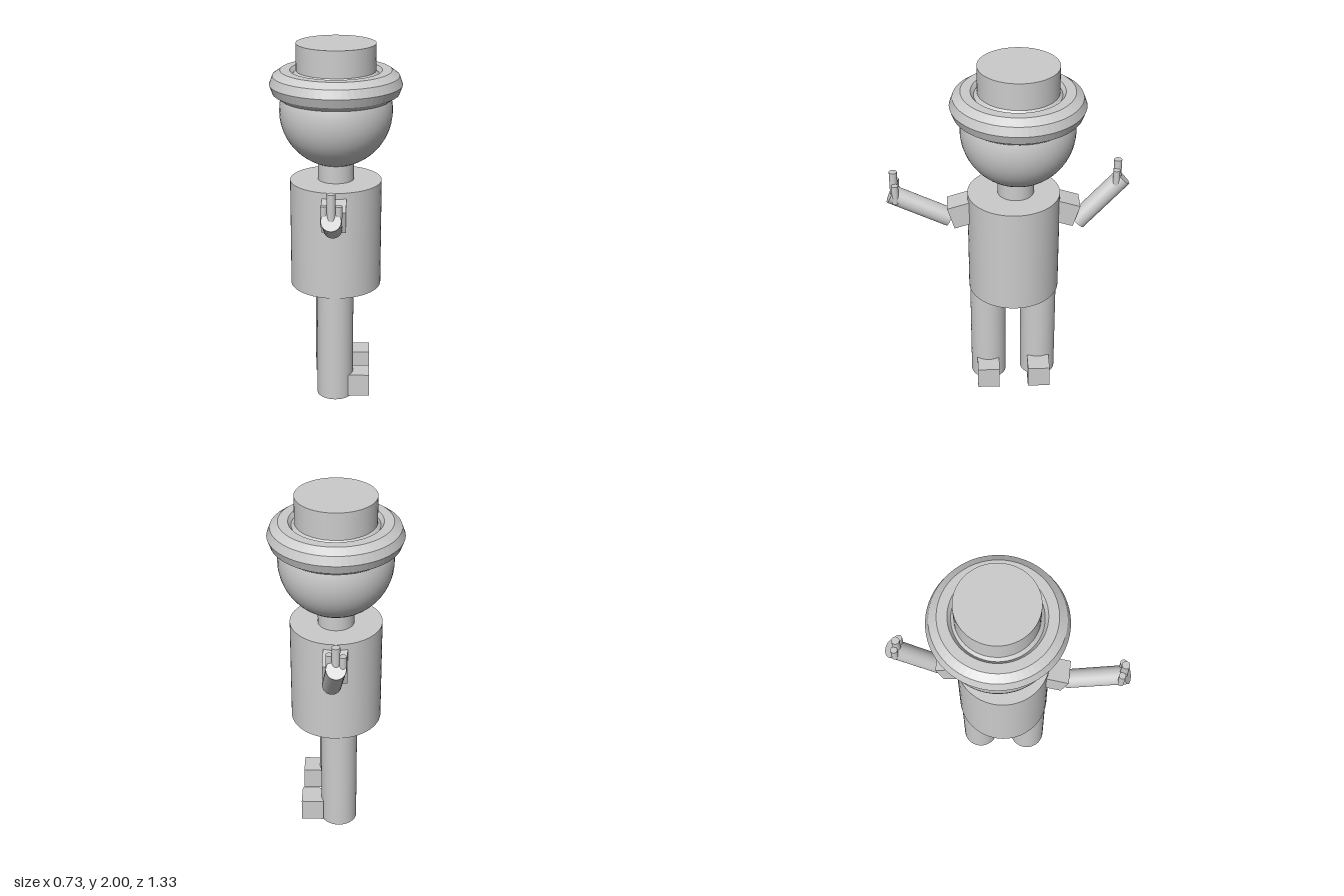
import * as THREE from 'three';

const material = new THREE.MeshStandardMaterial({ color: 0xcccccc });
const flatMaterial = new THREE.MeshStandardMaterial({ color: 0xcccccc, flatShading: true });
const V = (x, y, z) => new THREE.Vector3(x, y, z);

function add(parent, name, geometry, x, y, z, mat = material) {
  const mesh = new THREE.Mesh(geometry, mat);
  mesh.name = name;
  mesh.position.set(x, y, z);
  parent.add(mesh);
  return mesh;
}

// Upright cylinder between two heights
function post(parent, name, r, y0, y1, x, z, sides = 48) {
  return add(parent, name, new THREE.CylinderGeometry(r, r, y1 - y0, sides), x, (y0 + y1) / 2, z);
}

// Cylinder running between two points
function rod(parent, name, r, a, b) {
  const mid = a.clone().add(b).multiplyScalar(0.5);
  const mesh = add(parent, name, new THREE.CylinderGeometry(r, r, a.distanceTo(b), 32), mid.x, mid.y, mid.z);
  mesh.quaternion.setFromUnitVectors(V(0, 1, 0), b.clone().sub(a).normalize());
  return mesh;
}

// Tilted shoulder block, forearm and three fingers, the middle one tallest
function makeArm(name, side, shoulderZ, elbow, wrist, fingers) {
  const arm = new THREE.Group();
  arm.name = name;
  const block = add(arm, 'shoulder', new THREE.BoxGeometry(0.132, 0.132, 0.132), -0.003, 1.13, shoulderZ);
  block.rotation.x = side * 0.3;
  rod(arm, 'forearm', 0.052, elbow, wrist);
  fingers.at.forEach(([x, z], i) => {
    post(arm, 'finger', i === 1 ? 0.022 : 0.019, fingers.base, i === 1 ? fingers.tall : fingers.short, x, z, 20);
  });
  return arm;
}

export function createModel() {
  const model = new THREE.Group();
  model.name = 'figure';

  // Head, neck and body
  add(model, 'head', new THREE.SphereGeometry(0.31, 48, 32), 0, 1.63, -0.056);
  post(model, 'neck', 0.1, 1.2, 1.4, 0, -0.045);
  post(model, 'torso', 0.254, 0.63, 1.243, 0, -0.034, 64);

  // Hat: faceted ring brim and round crown
  const brim = [
    [0.22, 1.777], [0.23, 1.725], [0.255, 1.7], [0.303, 1.7], [0.345, 1.729],
    [0.3625, 1.777], [0.345, 1.825], [0.303, 1.855], [0.25, 1.855], [0.23, 1.83], [0.22, 1.777],
  ].map(([r, y]) => new THREE.Vector2(r, y));
  add(model, 'hatBrim', new THREE.LatheGeometry(brim, 64), 0, 0, -0.056, flatMaterial);
  post(model, 'hatCrown', 0.217, 1.8, 2, 0, -0.058, 64);

  // Legs and block feet
  for (const [x, legZ, footZ] of [[0, 0.113, 0.117], [-0.02, -0.178, -0.177]]) {
    post(model, 'leg', 0.102, 0, 0.66, x, legZ);
    add(model, 'foot', new THREE.BoxGeometry(0.127, 0.13, 0.127), 0.131, 0.073, footZ);
  }

  // Arms reaching forward and backward
  model.add(makeArm('frontArm', 1, 0.25, V(-0.007, 1.08, 0.32), V(-0.007, 1.238, 0.64), {
    at: [[-0.044, 0.611], [-0.007, 0.62], [0.03, 0.612]], base: 1.2, tall: 1.376, short: 1.31,
  }));
  model.add(makeArm('backArm', -1, -0.315, V(0.013, 1.053, -0.386), V(-0.017, 1.31, -0.632), {
    at: [[-0.051, -0.609], [-0.015, -0.602], [0.019, -0.593]], base: 1.28, tall: 1.423, short: 1.375,
  }));

  return model;
}
